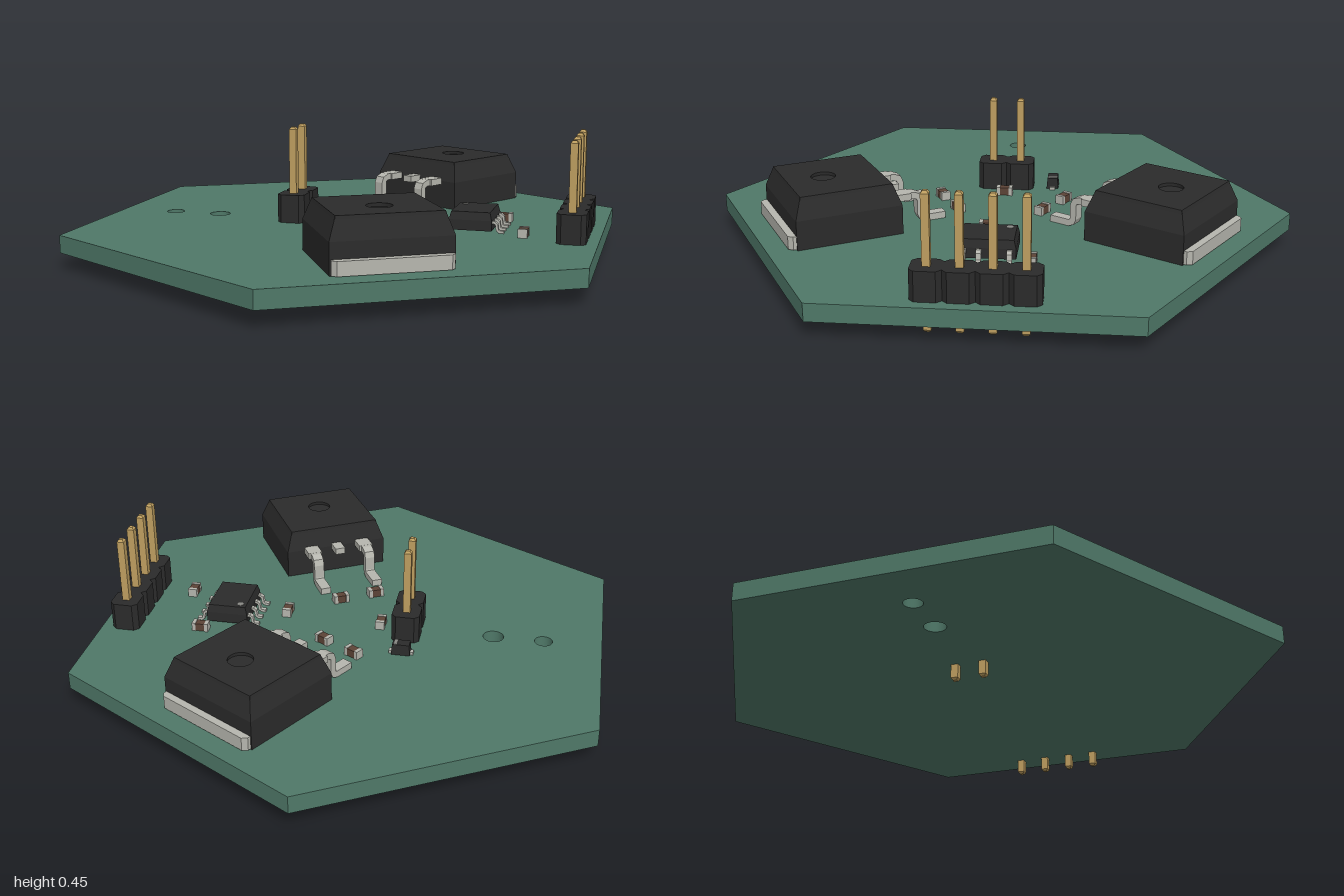
import * as THREE from 'three';

const mat = (color) => new THREE.MeshStandardMaterial({ color });
const green = mat(0x4f7868), black = mat(0x2b2b2b), silver = mat(0xb6b6ae);
const gold = mat(0xbf9f60), brown = mat(0x5c4336), grey = mat(0x8a8a86);
const TOP = 0.115; // upper surface of the board

function add(parent, name, geometry, material, x = 0, y = 0, z = 0) {
  const mesh = new THREE.Mesh(geometry, material);
  mesh.name = name;
  mesh.position.set(x, y, z);
  parent.add(mesh);
  return mesh;
}

function group(parent, name, x = 0, z = 0, turn = 0) {
  const g = new THREE.Group();
  g.name = name;
  g.position.set(x, TOP, z);
  g.rotation.y = turn;
  parent.add(g);
  return g;
}

const shapeOf = (pts) => new THREE.Shape(pts.map(([x, y]) => new THREE.Vector2(x, y)));

// Rectangle outline with cut corners
function cutRect(w, d, c) {
  const a = w / 2, b = d / 2;
  return shapeOf([[a - c, -b], [a, -b + c], [a, b - c], [a - c, b],
    [-a + c, b], [-a, b - c], [-a, -b + c], [-a + c, -b]]);
}

function circleHole(shape, x, y, r) {
  shape.holes.push(new THREE.Path().absarc(x, y, r, 0, Math.PI * 2, true));
}

// Flat outline raised from y = 0 to y = h
function slab(shape, h) {
  return new THREE.ExtrudeGeometry(shape, { depth: h, bevelEnabled: false, curveSegments: 24 })
    .rotateX(-Math.PI / 2);
}

// Narrow the upper half of a solid by an inset on each side
function taper(geometry, w, d, h, inset) {
  const p = geometry.attributes.position;
  for (let i = 0; i < p.count; i++) {
    if (p.getY(i) < h / 2) continue;
    p.setX(i, p.getX(i) * (1 - 2 * inset / w));
    p.setZ(i, p.getZ(i) * (1 - 2 * inset / d));
  }
  geometry.computeVertexNormals();
  return geometry;
}

function taperedBox(w, d, h, inset) {
  return taper(new THREE.BoxGeometry(w, h, d).translate(0, h / 2, 0), w, d, h, inset);
}

// Bent metal strip: centre line in (z, y), given thickness and width
function strip(path, thick, width) {
  const pts = path.map(([a, b]) => new THREE.Vector2(a, b));
  const side = (s) => pts.map((p, i) => {
    const before = pts[Math.max(i - 1, 0)], after = pts[Math.min(i + 1, pts.length - 1)];
    const t = after.clone().sub(before).normalize();
    return [p.x - t.y * s, p.y + t.x * s];
  });
  const outline = [...side(thick / 2), ...side(-thick / 2).reverse()];
  return new THREE.ExtrudeGeometry(shapeOf(outline), { depth: width, bevelEnabled: false })
    .translate(0, 0, -width / 2).rotateY(-Math.PI / 2);
}

// Power transistor: leads towards local +z, heat tab towards -z
function powerTransistor(parent, name, x, z, turn) {
  const g = group(parent, name, x, z, turn);
  const w = 0.382, d = 0.36, low = 0.1, mid = 0.06, cap = 0.011;
  add(g, 'transistorBody', new THREE.BoxGeometry(w, low, d), black, 0, low / 2, 0);
  add(g, 'transistorSlope', taperedBox(w, d, mid, 0.021), black, 0, low, 0);
  const w2 = w - 0.042, d2 = d - 0.042;
  const lid = cutRect(w2, d2, 0.001);
  circleHole(lid, 0, 0.03, 0.042);
  add(g, 'transistorLid', taper(slab(lid, cap), w2, d2, cap, 0.003), black, 0, low + mid, 0);
  add(g, 'heatTab', slab(cutRect(0.374, 0.3, 0.014), 0.045), silver, 0, 0.003, -0.055);
  const path = [[-0.02, 0.099], [0.068, 0.099], [0.085, 0.092], [0.09, 0.078],
    [0.09, 0.03], [0.095, 0.018], [0.108, 0.013], [0.18, 0.013]];
  for (const s of [-1, 1]) {
    add(g, 'lead', strip(path, 0.023, 0.037), silver, s * 0.1, 0, d / 2);
    add(g, 'leadShoulder', new THREE.BoxGeometry(0.052, 0.0235, 0.055), silver, s * 0.1, 0.099, d / 2 + 0.027);
  }
  add(g, 'cutLead', new THREE.BoxGeometry(0.037, 0.023, 0.07), silver, 0, 0.099, d / 2 + 0.015);
}

// Row of square pins in a notched plastic strip
function pinHeader(parent, name, x, count) {
  const g = group(parent, name, x, 0);
  const pitch = 0.098, length = 0.446;
  for (let i = 0; i < count; i++) {
    const z = (i - (count - 1) / 2) * pitch;
    add(g, 'headerBlock', slab(cutRect(0.096, pitch, 0.016), 0.098), black, 0, 0, z);
    const pin = new THREE.Group();
    pin.name = 'pin';
    pin.position.set(0, -TOP, z);
    add(pin, 'pinShaft', new THREE.BoxGeometry(0.025, length - 0.016, 0.025), gold, 0, length / 2, 0);
    add(pin, 'pinTip', taperedBox(0.025, 0.025, 0.008, 0.006), gold, 0, length - 0.008, 0);
    add(pin, 'pinFoot', taperedBox(0.025, 0.025, 0.008, 0.006), gold, 0, 0.008, 0).rotation.x = Math.PI;
    g.add(pin);
  }
}

// Eight-lead chip
function chip(parent) {
  const g = group(parent, 'controllerChip', 0.437, 0);
  add(g, 'chipLower', taperedBox(0.145, 0.186, 0.035, 0).translate(0, 0.008, 0), black);
  add(g, 'chipUpper', taperedBox(0.145, 0.186, 0.027, 0.007), black, 0, 0.043, 0);
  add(g, 'pinOneDot', new THREE.CylinderGeometry(0.011, 0.011, 0.002, 20), grey, -0.044, 0.0705, -0.064);
  const path = [[-0.01, 0.036], [0.01, 0.036], [0.017, 0.03], [0.02, 0.01], [0.027, 0.005], [0.042, 0.005]];
  for (const s of [-1, 1]) {
    for (let i = 0; i < 4; i++) {
      const lead = add(g, 'chipLead', strip(path, 0.009, 0.017), silver, s * 0.07, 0, (i - 1.5) * 0.0485);
      lead.rotation.y = s * Math.PI / 2;
    }
  }
}

// Small two-terminal part with metal end caps
function chipPassive(parent, x, z, turn) {
  const g = group(parent, 'chipPassive', x, z, turn);
  add(g, 'passiveBody', new THREE.BoxGeometry(0.036, 0.027, 0.03), brown, 0, 0.0145, 0);
  for (const s of [-1, 1]) {
    add(g, 'endCap', new THREE.BoxGeometry(0.013, 0.03, 0.032), silver, s * 0.022, 0.015, 0);
  }
}

export function createModel() {
  const model = new THREE.Group();
  model.name = 'hexagonalCircuitBoard';

  // Six-sided board with two drilled holes
  const hexagon = shapeOf(Array.from({ length: 6 }, (_, i) => {
    const a = Math.PI / 6 + i * Math.PI / 3;
    return [Math.cos(a), Math.sin(a)];
  }));
  circleHole(hexagon, -0.667, 0, 0.031);
  circleHole(hexagon, -0.494, 0, 0.036);
  add(model, 'board', slab(hexagon, 0.06), green, 0, TOP - 0.06, 0);

  // Mirrored power transistors
  powerTransistor(model, 'backTransistor', 0.233, -0.55, -Math.PI / 6);
  powerTransistor(model, 'frontTransistor', 0.233, 0.55, -Math.PI * 5 / 6);

  pinHeader(model, 'fourPinHeader', 0.78, 4);
  pinHeader(model, 'twoPinHeader', -0.196, 2);
  chip(model);

  // Small parts
  for (const s of [-1, 1]) {
    chipPassive(model, -0.04, s * 0.215, s * Math.PI / 6);
    chipPassive(model, 0.076, s * 0.147, s * Math.PI / 6);
  }
  chipPassive(model, 0.518, -0.142, 0);
  for (const [x, z] of [[-0.098, 0], [0.244, 0.024], [0.618, 0.106]]) {
    chipPassive(model, x, z, Math.PI / 2);
  }

  // Diode
  const diode = group(model, 'diode', -0.196, -0.168);
  add(diode, 'diodeBody', taperedBox(0.064, 0.042, 0.038, 0.003), black, 0, 0.003, 0);
  add(diode, 'polarityBand', new THREE.BoxGeometry(0.01, 0.002, 0.034), grey, 0.018, 0.0415, 0);
  add(diode, 'diodeTerminals', new THREE.BoxGeometry(0.084, 0.01, 0.02), silver, 0, 0.006, 0);

  return model;
}
